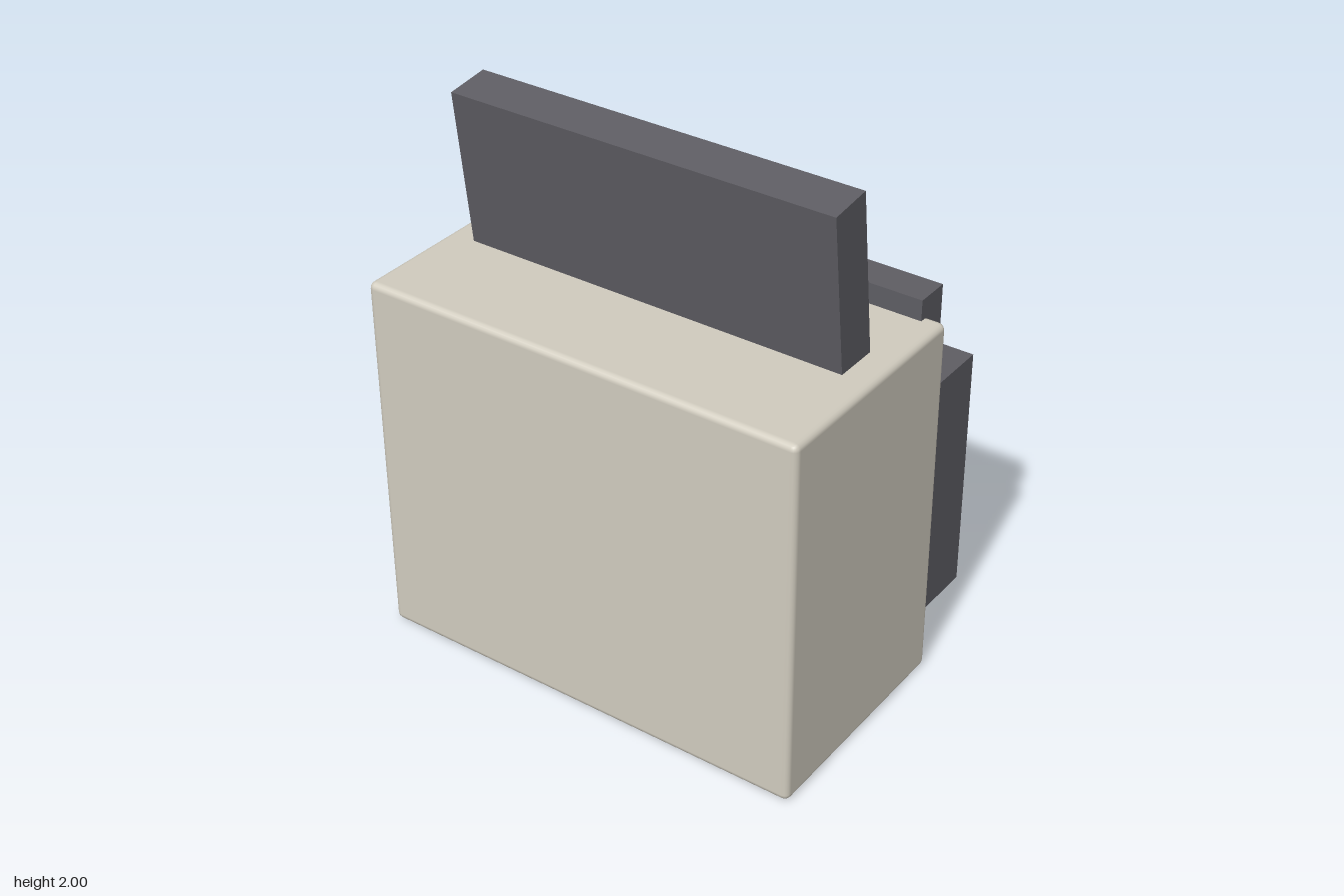
import * as THREE from 'three';
import { RoundedBoxGeometry } from 'three/addons/geometries/RoundedBoxGeometry.js';

export function createModel() {
  const model = new THREE.Group();
  const material = (name, color) => {
    const m = new THREE.MeshStandardMaterial({ color });
    m.name = name;
    return m;
  };
  const cream = material('cream', 0xd0cbbe);
  const charcoal = material('charcoal', 0x5e5d63);
  const amber = material('amber', 0xcf984c);

  // Box given by its extents along each axis
  function box(name, mat, [x0, x1], [y0, y1], [z0, z1], radius = 0) {
    const size = [x1 - x0, y1 - y0, z1 - z0];
    const geometry = radius
      ? new RoundedBoxGeometry(...size, 2, radius)
      : new THREE.BoxGeometry(...size);
    const mesh = new THREE.Mesh(geometry, mat);
    mesh.name = name;
    mesh.position.set((x0 + x1) / 2, (y0 + y1) / 2, (z0 + z1) / 2);
    model.add(mesh);
    return mesh;
  }

  // Slab leaning forward, hung from its upper rear edge at (y, z)
  const lean = 0.117;
  function leaningSlab(name, mat, width, height, depth, y, z) {
    const geometry = new THREE.BoxGeometry(width, height, depth);
    geometry.translate(0, -height / 2, depth / 2);
    const mesh = new THREE.Mesh(geometry, mat);
    mesh.name = name;
    mesh.rotation.x = lean;
    mesh.position.set(0, y, z);
    model.add(mesh);
  }

  // Main housing with softened edges
  box('housing', cream, [-0.845, 0.845], [0, 1.4], [-0.2, 0.68], 0.024);

  // Upright tray on top, with a sheet behind it
  leaningSlab('topTray', charcoal, 1.476, 0.7, 0.164, 2.0, 0.167);
  leaningSlab('topSheet', cream, 1.176, 0.65, 0.046, 1.958, 0.106);

  // Box standing off the rear, with its raised cover
  box('rearBox', charcoal, [-0.738, 0.738], [0.08, 1.035], [-0.605, -0.24]);
  box('rearCover', cream, [-0.624, 0.624], [0.19, 0.925], [-0.68, -0.605]);

  // Control panel and its buttons
  box('controlPanel', charcoal, [0.11, 0.774], [1.185, 1.477], [-0.286, -0.157]);
  box('largeButton', amber, [0.117, 0.246], [1.27, 1.397], [-0.328, -0.284]);
  box('smallButton', cream, [0.625, 0.7], [1.297, 1.367], [-0.321, -0.284]);

  return model;
}
